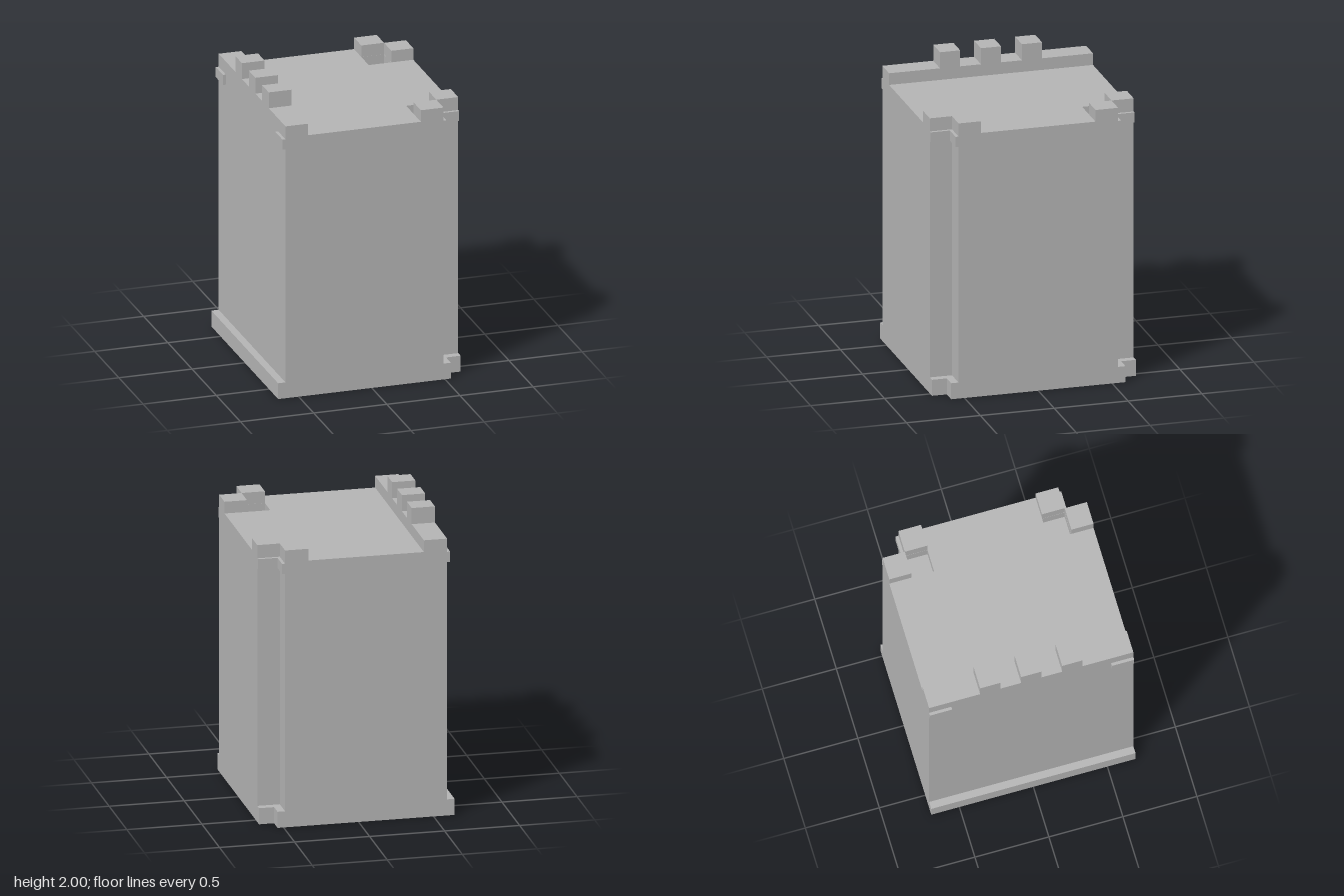
import * as THREE from 'three';

export function createModel() {
  const group = new THREE.Group();
  const grey = new THREE.MeshStandardMaterial({ color: 0xb4b4b4 });
  grey.name = 'plain grey';

  const add = (name, geometry) => {
    const mesh = new THREE.Mesh(geometry, grey);
    mesh.name = name;
    group.add(mesh);
  };

  // Box given by its limits on each axis
  const box = (name, x0, x1, y0, y1, z0, z1) => add(name,
    new THREE.BoxGeometry(x1 - x0, y1 - y0, z1 - z0)
      .translate((x0 + x1) / 2, (y0 + y1) / 2, (z0 + z1) / 2));

  // Plan outline with square notches at the two +x corners
  const outline = (x0, x1, z, n) => [
    [x0, -z], [x1 - n, -z], [x1 - n, n - z], [x1, n - z],
    [x1, z - n], [x1 - n, z - n], [x1 - n, z], [x0, z],
  ].map(([x, y]) => new THREE.Vector2(x, y));

  // Upright prism from a plan outline and holes
  const prism = (name, points, holes, y0, y1) => {
    const shape = new THREE.Shape(points);
    shape.holes = holes.map((h) => new THREE.Path(h));
    add(name, new THREE.ExtrudeGeometry(shape, { depth: y1 - y0, bevelEnabled: false })
      .rotateX(-Math.PI / 2).translate(0, y0, 0));
  };

  // Base: thin skirt under a deck, hollow from below
  const t = 0.01;
  prism('baseDeck', outline(-0.64, 0.64, 0.69, 0.1), [], 0.1, 0.11);
  prism('baseSkirt', outline(-0.64, 0.64, 0.69, 0.1),
    [outline(-0.64 + t, 0.64 - t, 0.69 - t, 0.1)], 0, 0.1);

  // Inner ribs under the base: perimeter pair and central cross
  for (const x of [-0.59, 0, 0.59]) {
    const end = x > 0.5 ? 0.59 : 0.685;
    box('baseRib', x - t / 2, x + t / 2, 0.005, 0.1, -end, end);
  }
  for (const z of [-0.64, 0, 0.64]) {
    box('baseRib', -0.635, z === 0 ? 0.635 : 0.54, 0.005, 0.1, z - t / 2, z + t / 2);
  }

  // Body, then a shallower catch lip and the top, with two square pockets
  const pockets = [-1, 1].map((s) => [
    [0.335, 0.387], [0.489, 0.387], [0.489, 0.539], [0.335, 0.539],
  ].map(([x, z]) => new THREE.Vector2(x, s * z)));
  prism('body', outline(-0.59, 0.64, 0.69, 0.15), [], 0.11, 1.73);
  prism('cornerLip', outline(-0.59, 0.64, 0.69, 0.13), pockets, 1.73, 1.8);
  prism('topDeck', outline(-0.59, 0.64, 0.69, 0.15), pockets, 1.8, 1.81);

  // Raised blocks at the notched corners and clips on the opposite side
  for (const s of [-1, 1]) {
    const span = (a, b) => (s > 0 ? [a, b] : [-b, -a]);
    box('cornerBlock', 0.335, 0.49, 1.81, 1.89, ...span(0.54, 0.69));
    box('cornerBlock', 0.49, 0.64, 1.81, 1.89, ...span(0.387, 0.54));
    box('sideClip', -0.61, -0.59, 1.73, 1.8, ...span(0.54, 0.69));
  }

  // Parapet with three merlons
  box('parapet', -0.59, -0.435, 1.81, 1.89, -0.69, 0.69);
  for (const z of [-0.277, 0, 0.277]) {
    box('merlon', -0.59, -0.435, 1.89, 2, z - 0.068, z + 0.068);
  }

  return group;
}
